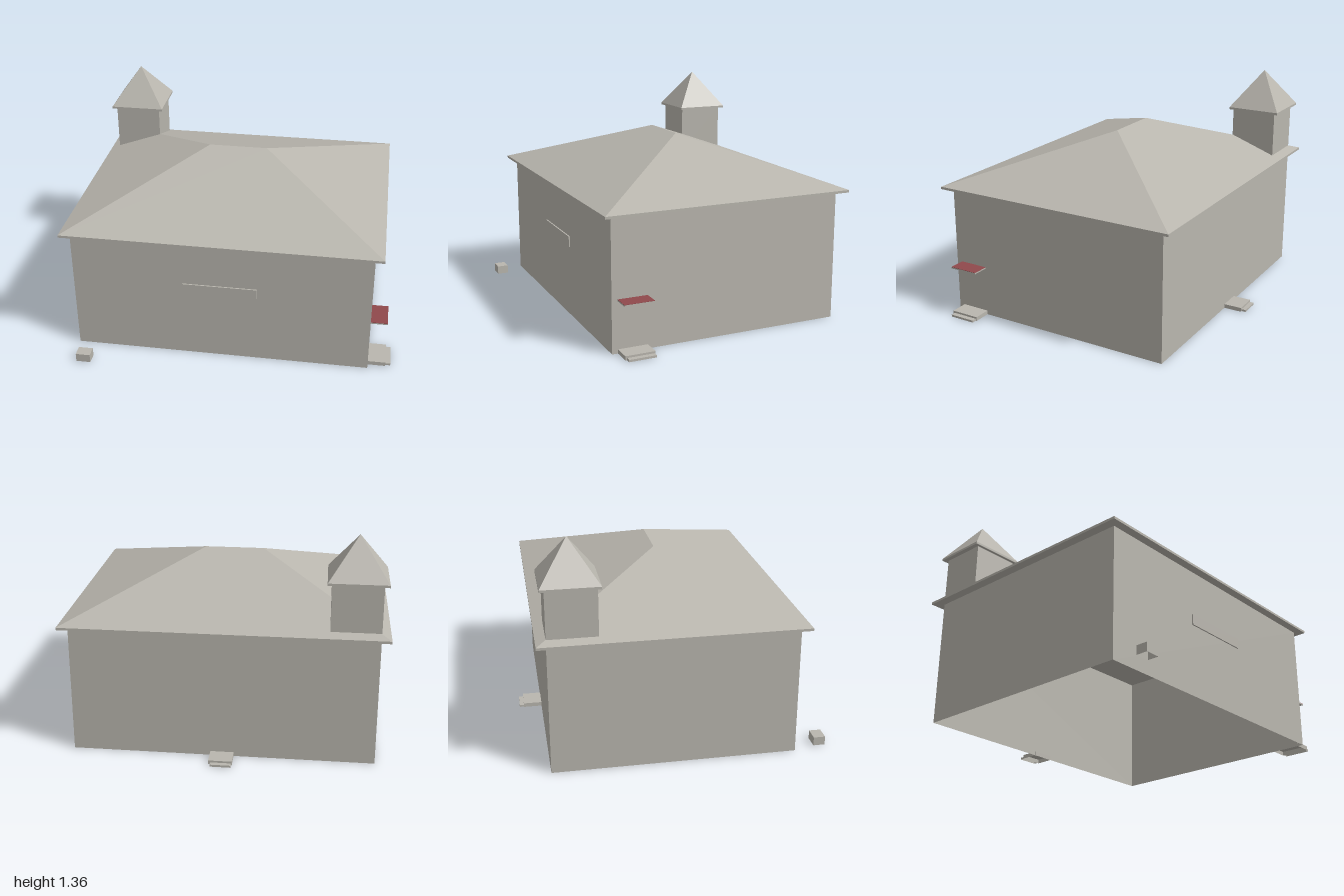
import * as THREE from 'three';

export function createModel() {
  const model = new THREE.Group();
  model.name = 'house';
  const stone = new THREE.MeshStandardMaterial({ color: 0xb9b6ae, side: THREE.DoubleSide });
  stone.name = 'warm grey';
  const red = new THREE.MeshStandardMaterial({ color: 0x8f494c, side: THREE.DoubleSide });
  red.name = 'dull red';

  function add(name, geometry, material = stone, parent = model) {
    const mesh = new THREE.Mesh(geometry, material);
    mesh.name = name;
    parent.add(mesh);
    return mesh;
  }

  // Hollow box between two corners, leaving out the listed faces
  // (0 +x, 1 -x, 2 top, 3 bottom, 4 +z, 5 -z)
  function shell([x0, x1], [y0, y1], [z0, z1], omit = [3]) {
    const g = new THREE.BoxGeometry(x1 - x0, y1 - y0, z1 - z0);
    g.translate((x0 + x1) / 2, (y0 + y1) / 2, (z0 + z1) / 2);
    const all = Array.from(g.index.array);
    g.setIndex(all.filter((_, i) => !omit.includes(Math.floor(i / 6))));
    g.clearGroups();
    return g;
  }

  // Hip roof with a fascia band and flat soffit; equal ridge ends give a pyramid
  function hipRoof([x0, x1], [z0, z1], soffit, eave, top, [r0, r1], rz) {
    const ring = (y) => [[x0, y, z1], [x1, y, z1], [x1, y, z0], [x0, y, z0]];
    const low = ring(soffit), up = ring(eave);
    const left = [r0, top, rz], right = [r1, top, rz];
    const ridge = [[left, right], [right, right], [right, left], [left, left]];
    const pos = [];
    const quad = (a, b, c, d) => {
      pos.push(...a, ...b, ...c);
      if (c !== d) pos.push(...a, ...c, ...d);
    };
    for (let i = 0; i < 4; i++) {
      const j = (i + 1) % 4;
      quad(low[i], low[j], up[j], up[i]);
      const [a, b] = ridge[i];
      if (r0 === r1) quad(up[i], up[j], a, a);
      else quad(up[i], up[j], b, a);
    }
    quad(low[3], low[2], low[1], low[0]);
    const g = new THREE.BufferGeometry();
    g.setAttribute('position', new THREE.Float32BufferAttribute(pos, 3));
    g.computeVertexNormals();
    return g;
  }

  // Main building, open underneath
  add('walls', shell([-0.945, 0.862], [0, 0.79], [-0.752, 0.692], [2, 3]));
  add('mainRoof', hipRoof([-1, 0.915], [-0.81, 0.743], 0.79, 0.805, 1.085, [-0.223, 0.14], -0.033));

  // Corner tower
  add('towerWalls', shell([-0.945, -0.655], [0.8, 1.11], [-0.752, -0.462], [2, 3]));
  add('towerRoof', hipRoof([-0.973, -0.63], [-0.78, -0.443], 1.108, 1.122, 1.36, [-0.802, -0.802], -0.611));

  // Shallow sign panel on the front wall
  add('signPanel', shell([-0.27, 0.18], [0.44, 0.505], [0.69, 0.7], [5]));

  // Side entrance: awning with a red top, and two steps
  const side = new THREE.Group();
  side.name = 'sideEntrance';
  model.add(side);
  add('awningFrame', shell([0.86, 0.963], [0.307, 0.315], [0.476, 0.657]), stone, side);
  add('awningTop', shell([0.86, 0.963], [0.315, 0.317], [0.476, 0.657]), red, side);
  add('upperStep', shell([0.86, 0.97], [0, 0.025], [0.476, 0.657]), stone, side);
  add('lowerStep', shell([0.97, 1], [0, 0.013], [0.482, 0.647]), stone, side);

  // Back entrance steps
  const back = new THREE.Group();
  back.name = 'backEntrance';
  model.add(back);
  add('upperStep', shell([-0.11, 0.03], [0, 0.025], [-0.865, -0.75]), stone, back);
  add('lowerStep', shell([-0.105, 0.018], [0, 0.013], [-0.892, -0.865]), stone, back);

  // Small block standing off the front corner
  add('groundBlock', shell([-0.91, -0.822], [0, 0.053], [0.82, 0.89]));

  return model;
}
